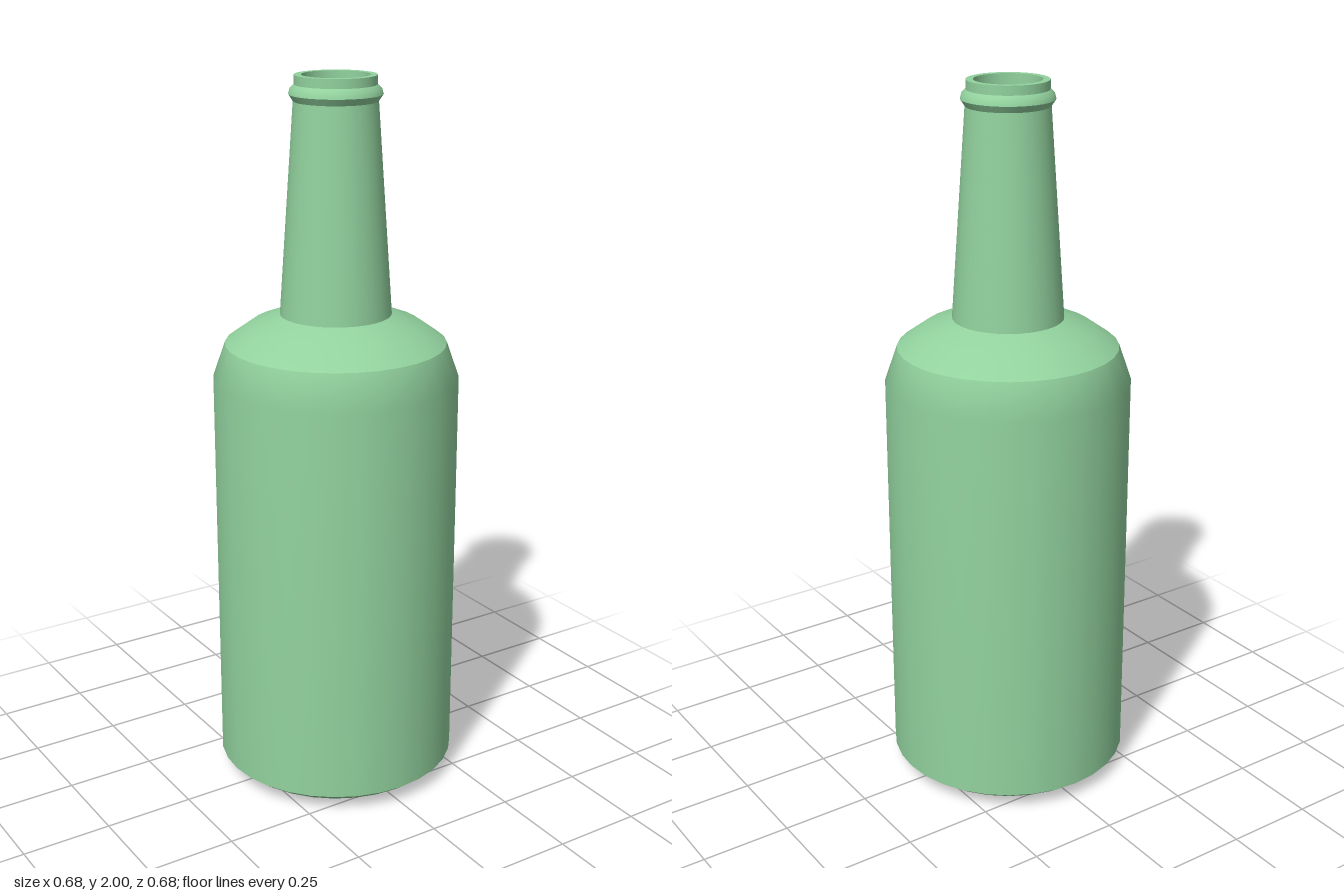
import * as THREE from 'three';

const SEGMENTS = 32;

export function createModel() {
  const group = new THREE.Group();
  group.name = 'bottle';

  const glass = new THREE.MeshStandardMaterial({ color: 0x92d29e, side: THREE.DoubleSide });
  glass.name = 'green glass';

  // Each section is a [radius, height] profile; sections meet at sharp edges.
  const sections = {
    base: [[0, 0], [0.24, 0.005], [0.31, 0.027], [0.34, 0.05]],
    body: [[0.34, 0.05], [0.34, 1.18], [0.305, 1.28]],
    shoulder: [[0.305, 1.28], [0.235, 1.33], [0.153, 1.36]],
    neck: [[0.153, 1.36], [0.113, 1.932]],
    collarUnderside: [[0.113, 1.932], [0.125, 1.95]],
    collarTop: [[0.125, 1.95], [0.121, 1.965], [0.11, 1.975]],
    lip: [[0.11, 1.975], [0.11, 2]],
    rim: [[0.11, 2], [0.091, 2]],
    mouth: [[0.091, 2], [0.091, 1.965]],
  };

  for (const [name, profile] of Object.entries(sections)) {
    const points = profile.map(([r, y]) => new THREE.Vector2(r, y));
    const mesh = new THREE.Mesh(new THREE.LatheGeometry(points, SEGMENTS), glass);
    mesh.name = name;
    group.add(mesh);
  }
  return group;
}
